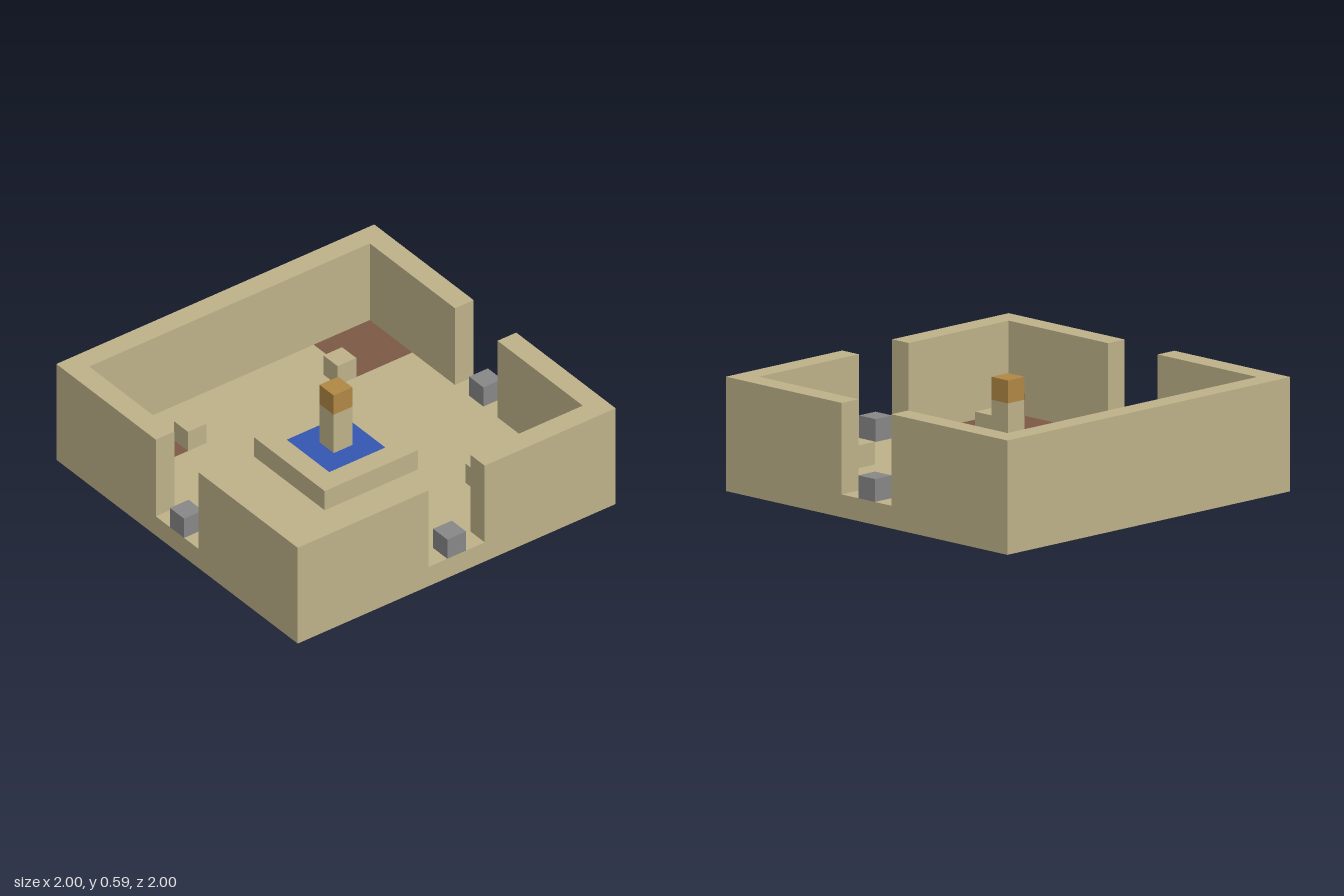
import * as THREE from 'three';

const U = 2 / 17; // one block

const mat = (name, color) => {
  const m = new THREE.MeshStandardMaterial({ color });
  m.name = name;
  return m;
};

export function createModel() {
  const group = new THREE.Group();
  const sand = mat('sand', 0xbfb38a);
  const brown = mat('brown', 0x7d5a46);
  const grey = mat('grey', 0x888888);
  const blue = mat('blue', 0x3457b2);
  const amber = mat('amber', 0xb08844);

  const add = (name, geometry, material) => {
    const mesh = new THREE.Mesh(geometry, material);
    mesh.name = name;
    group.add(mesh);
    return mesh;
  };

  // Box centred at x, z, standing on level y; all in blocks
  const block = (name, material, x, y, z, w = 1, h = 1, d = w) => {
    const mesh = add(name, new THREE.BoxGeometry(w * U, h * U, d * U), material);
    mesh.position.set(x * U, (y + h / 2) * U, z * U);
  };

  const outline = (pts) => pts.map(([x, z]) => new THREE.Vector2(x * U, -z * U));
  const square = (x, z, r) => outline([[x - r, z - r], [x - r, z + r], [x + r, z + r], [x + r, z - r]]);

  // Plan outline (x, z in blocks) raised from level y by h
  const raise = (name, material, pts, y, h, holes = []) => {
    const shape = new THREE.Shape(pts);
    holes.forEach((hole) => shape.holes.push(new THREE.Path(hole)));
    const geometry = new THREE.ExtrudeGeometry(shape, { depth: h * U, bevelEnabled: false });
    geometry.rotateX(-Math.PI / 2);
    geometry.translate(0, y * U, 0);
    add(name, geometry, material);
  };

  // Floor with four corner patches set through it
  const corners = [[-6, -6], [6, -6], [-6, 6], [6, 6]];
  raise('floor', sand, square(0, 0, 8.5), 0, 1, corners.map(([x, z]) => square(x, z, 1.5)));
  corners.forEach(([x, z]) => {
    block('cornerPatch', brown, x, 0, z, 3, 1);
    block('cornerStone', sand, Math.sign(x) * 5, 1, Math.sign(z) * 4);
  });
  block('cornerCrate', brown, 7, 1, 7);

  // Walls: one closed side, doorways in the other three
  raise('closedWall', sand, outline([
    [-1.5, -8.5], [-8.5, -8.5], [-8.5, 8.5], [-1.5, 8.5],
    [-1.5, 7.5], [-7.5, 7.5], [-7.5, -7.5], [-1.5, -7.5],
  ]), 1, 4);
  for (const s of [-1, 1]) {
    raise('cornerWall', sand, outline([
      [1.5, 8.5 * s], [8.5, 8.5 * s], [8.5, 1.5 * s],
      [7.5, 1.5 * s], [7.5, 7.5 * s], [1.5, 7.5 * s],
    ]), 1, 4);
  }

  // Doorway stones
  [[0, 8], [0, -8], [8, 0]].forEach(([x, z]) => block('doorStone', grey, x, 1, z));

  // Central plinth with inset pool and pillar
  raise('plinth', sand, square(0, 0, 2.5), 1, 1, [square(0, 0, 1.5)]);
  block('pool', blue, 0, 1, 0, 3, 1);
  block('pillar', sand, 0, 2, 0, 1, 2);
  block('pillarTop', amber, 0, 4, 0);

  return group;
}
